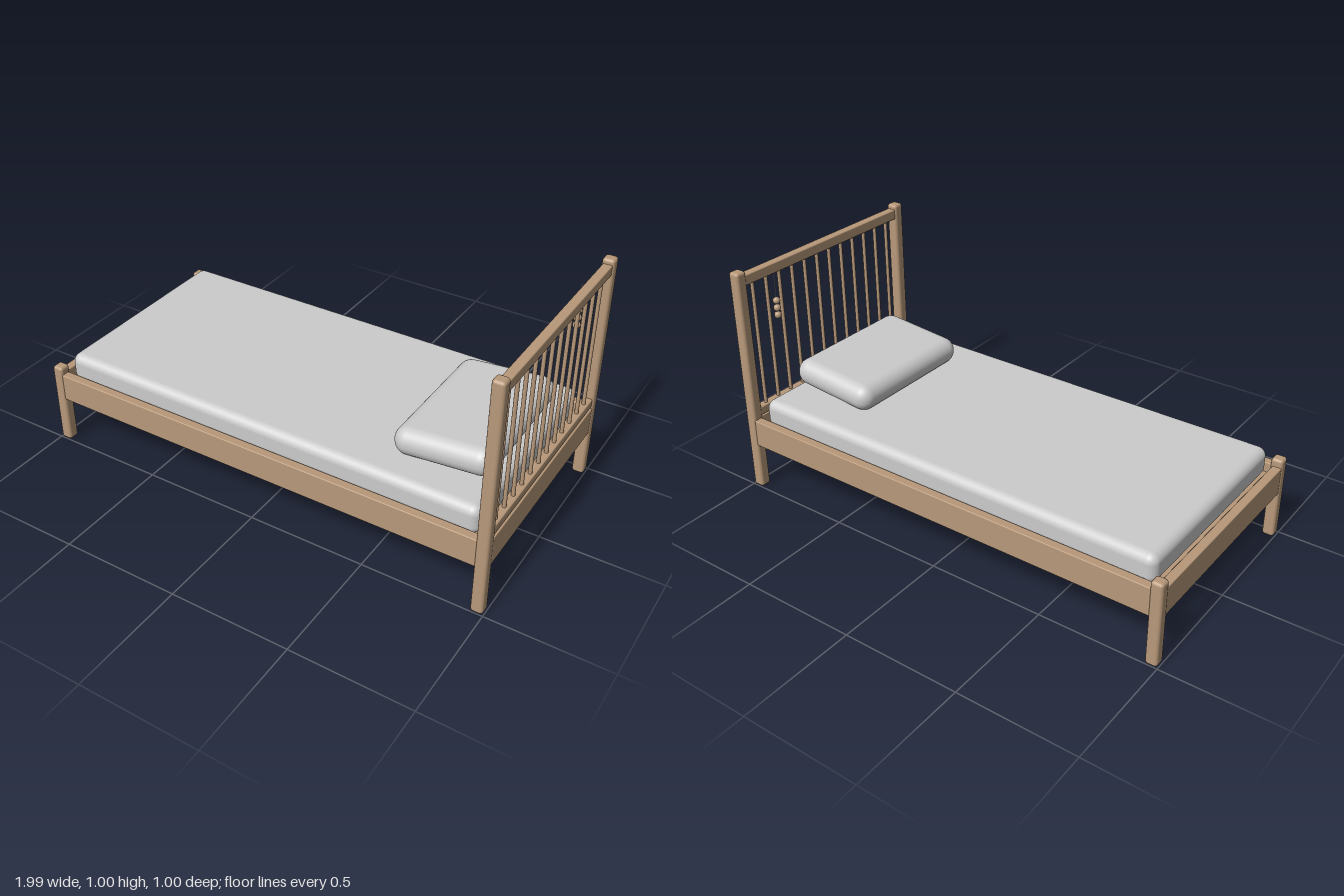
import * as THREE from 'three';
import { RoundedBoxGeometry } from 'three/addons/geometries/RoundedBoxGeometry.js';

export function createModel() {
  const bed = new THREE.Group();
  bed.name = 'bed';
  const wood = new THREE.MeshStandardMaterial({ color: 0xb8997a });
  const fabric = new THREE.MeshStandardMaterial({ color: 0xcccccc });

  function add(name, geometry, material, x, y, z, parent = bed) {
    const mesh = new THREE.Mesh(geometry, material);
    mesh.name = name;
    mesh.position.set(x, y, z);
    parent.add(mesh);
    return mesh;
  }
  const rounded = (w, h, d, r, segments = 3) => new RoundedBoxGeometry(w, h, d, segments, r);

  // Corner posts: tall at the head (+x), short at the foot (-x)
  for (const side of [-1, 1]) {
    add('headPost', rounded(0.05, 0.995, 0.05, 0.013), wood, 0.972, 0.4975, side * 0.475);
    add('footPost', rounded(0.05, 0.363, 0.05, 0.013), wood, -0.972, 0.1815, side * 0.475);
  }

  // Frame rails
  for (const side of [-1, 1]) {
    add('sideRail', rounded(1.9, 0.12, 0.038, 0.004, 2), wood, 0, 0.27, side * 0.478);
    add('endRail', rounded(0.038, 0.12, 0.91, 0.004, 2), wood, side * 0.976, 0.27, 0);
  }

  // Mattress base
  add('bedBase', new THREE.BoxGeometry(1.87, 0.02, 0.91), wood, 0, 0.28, 0);

  // Headboard with a row of spindles
  const headboard = new THREE.Group();
  headboard.name = 'headboard';
  bed.add(headboard);
  add('topRail', rounded(0.038, 0.045, 0.91, 0.005, 2), wood, 0.972, 0.952, 0, headboard);
  add('lowerRail', rounded(0.038, 0.038, 0.91, 0.005, 2), wood, 0.972, 0.355, 0, headboard);
  const spindle = new THREE.CylinderGeometry(0.0078, 0.0078, 0.57, 16);
  const count = 12;
  for (let i = 0; i < count; i++) {
    const z = 0.405 - (0.81 * i) / (count - 1);
    add('spindle', spindle, wood, 0.972, 0.652, z, headboard);
  }

  // Mattress and tilted pillow
  add('mattress', rounded(1.866, 0.125, 0.9, 0.038, 5), fabric, -0.003, 0.3515, 0);
  const pillow = add('pillow', rounded(0.4, 0.116, 0.62, 0.056, 8), fabric, 0.703, 0.475, 0.015);
  pillow.rotation.z = 0.09;

  // Beads hanging on a thin cord inside the headboard
  const pendant = new THREE.Group();
  pendant.name = 'beadPendant';
  pendant.position.set(0.926, 0, -0.327);
  bed.add(pendant);
  add('cord', new THREE.CylinderGeometry(0.0015, 0.0015, 0.19, 8), fabric, 0, 0.845, 0, pendant);
  const bead = new THREE.SphereGeometry(0.0155, 20, 14);
  for (const y of [0.827, 0.795, 0.763]) add('bead', bead, wood, 0, y, 0, pendant);

  return bed;
}
